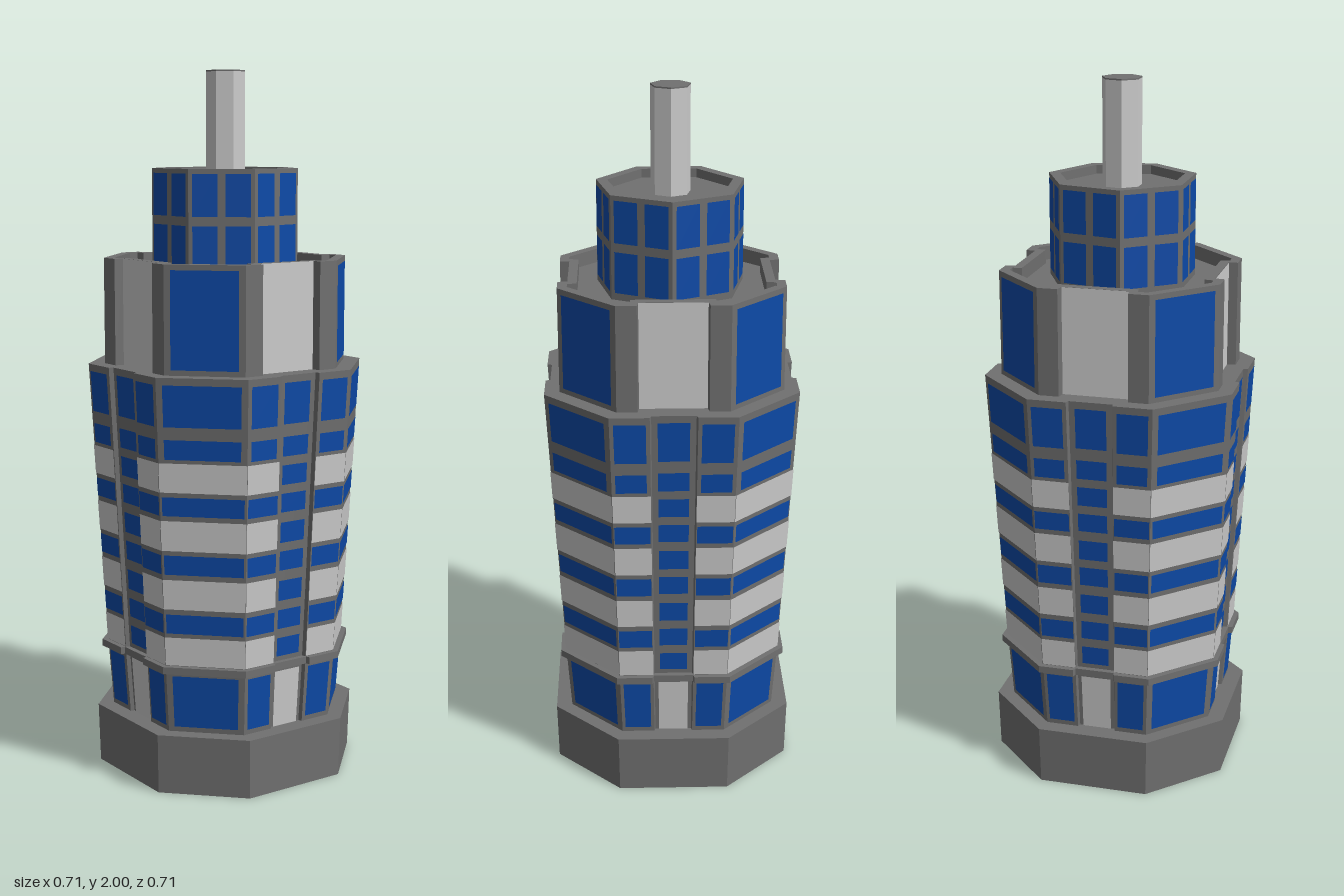
import * as THREE from 'three';

const LIGHT = 0xcccccc, DARK = 0x707070, BLUE = 0x0d4aa8;

// Octagonal plan, counter-clockwise from above, with a shallow notch in each main side.
// Faces per side: 0 left flank, 1 cheek, 2 notch back, 3 cheek, 4 right flank, 5 diagonal.
function notchedPlan(a, c, n, d) {
  const m = n - 0.004;
  const side = [[-c, a], [-n, a], [-m, a - d], [m, a - d], [n, a], [c, a]];
  const plan = [];
  for (let k = 0; k < 4; k++) {
    for (const [px, pz] of side) {
      let x = px, z = pz;
      for (let r = 0; r < k; r++) [x, z] = [z, -x];
      plan.push([x, z]);
    }
  }
  return plan;
}

const octagon = (a, c) => {
  const plan = [];
  for (const [x, z] of [[-c, a], [c, a]]) plan.push([x, z], [z, -x], [-x, -z], [-z, x]);
  return plan.sort((p, q) => Math.atan2(-p[1], p[0]) - Math.atan2(-q[1], q[0]));
};

const polygon = (n, r) => Array.from({ length: n }, (_, i) => {
  const t = (i / n) * Math.PI * 2;
  return [r * Math.cos(t), -r * Math.sin(t)];
});

const scalePlan = (plan, s) => plan.map(([x, z]) => [x * s, z * s]);

function addMesh(group, name, positions, color) {
  const geo = new THREE.BufferGeometry();
  geo.setAttribute('position', new THREE.Float32BufferAttribute(positions, 3));
  geo.computeVertexNormals();
  const mesh = new THREE.Mesh(geo, new THREE.MeshStandardMaterial({ color, flatShading: true }));
  mesh.name = name;
  group.add(mesh);
}

function pushQuad(out, a, b, c, d) {
  out.push(...a, ...b, ...c, ...a, ...c, ...d);
}

function pushCap(out, plan, y, up) {
  const contour = plan.map(([x, z]) => new THREE.Vector2(x, -z));
  for (const tri of THREE.ShapeUtils.triangulateShape(contour, [])) {
    for (const i of up ? tri : [...tri].reverse()) out.push(plan[i][0], y, plan[i][1]);
  }
}

// Solid skinned through a list of [plan, y] rings, capped at both ends
function skin(rings) {
  const out = [];
  for (let r = 0; r < rings.length - 1; r++) {
    const [p, y0] = rings[r], [q, y1] = rings[r + 1];
    p.forEach((_, i) => {
      const j = (i + 1) % p.length;
      pushQuad(out, [p[i][0], y0, p[i][1]], [p[j][0], y0, p[j][1]],
        [q[j][0], y1, q[j][1]], [q[i][0], y1, q[i][1]]);
    });
  }
  pushCap(out, ...rings[0], false);
  pushCap(out, ...rings[rings.length - 1], true);
  return out;
}

// Thin panel lying on wall face i between two rings; u runs along the face, y is height
function pushPanel(out, [p, y0], [q, y1], i, u0, u1, ya, yb) {
  const j = (i + 1) % p.length;
  const at = (u, y) => {
    const v = (y - y0) / (y1 - y0);
    const mix = (k) => THREE.MathUtils.lerp(
      THREE.MathUtils.lerp(p[i][k], p[j][k], u), THREE.MathUtils.lerp(q[i][k], q[j][k], u), v);
    return new THREE.Vector3(mix(0), y, mix(1));
  };
  const pts = [at(u0, ya), at(u1, ya), at(u1, yb), at(u0, yb)];
  const normal = pts[1].clone().sub(pts[0]).cross(pts[3].clone().sub(pts[0])).normalize();
  pushQuad(out, ...pts.map((v) => v.addScaledVector(normal, 0.002).toArray()));
}

export function createModel() {
  const model = new THREE.Group();
  model.name = 'tower';

  // Plinth
  addMesh(model, 'plinth', skin([[octagon(0.341, 0.157), 0], [octagon(0.345, 0.16), 0.17]]), DARK);

  // Ground floor with doors in the notches
  const shaftPlan = notchedPlan(0.354, 0.175, 0.065, 0.013);
  const g0 = [scalePlan(shaftPlan, 0.845), 0.17], g1 = [scalePlan(shaftPlan, 0.88), 0.35];
  const groundWindows = [], doors = [];
  for (let i = 0; i < 24; i++) {
    const kind = i % 6;
    if (kind === 0 || kind === 4) pushPanel(groundWindows, g0, g1, i, 0.1, 0.9, 0.185, 0.335);
    if (kind === 5) pushPanel(groundWindows, g0, g1, i, 0.08, 0.92, 0.185, 0.335);
    if (kind === 2) pushPanel(doors, g0, g1, i, 0.1, 0.9, 0.17, 0.335);
  }
  addMesh(model, 'groundFloorWalls', skin([g0, g1]), DARK);
  addMesh(model, 'groundFloorWindows', groundWindows, BLUE);
  addMesh(model, 'doors', doors, LIGHT);

  // Ledge above the ground floor
  const ledgePlan = scalePlan(shaftPlan, 0.925);
  addMesh(model, 'ledge', skin([[ledgePlan, 0.345], [ledgePlan, 0.365]]), DARK);

  // Shaft, widening upwards, with alternating window rows and light bands
  const s0 = [scalePlan(shaftPlan, 0.88), 0.36], s1 = [shaftPlan, 1.18];
  const windowRows = [[0.46, 0.515], [0.63, 0.685], [0.797, 0.85], [0.955, 1.01], [1.045, 1.16]];
  const bandRows = [[0.367, 0.448], [0.53, 0.615], [0.698, 0.783], [0.863, 0.945]];
  const columnRows = bandRows.map(([a, b]) => [a + 0.012, b - 0.015]).concat(windowRows);
  const shaftWindows = [], bands = [];
  for (let i = 0; i < 24; i++) {
    const kind = i % 6;
    if (kind === 1 || kind === 3) continue;
    if (kind === 2) {
      for (const [a, b] of columnRows) pushPanel(shaftWindows, s0, s1, i, 0.14, 0.86, a, b);
      continue;
    }
    windowRows.forEach(([a, b], r) => {
      const m = r < 3 ? 0.025 : kind === 5 ? 0.07 : 0.1;
      pushPanel(shaftWindows, s0, s1, i, m, 1 - m, a, b);
    });
    for (const [a, b] of bandRows) pushPanel(bands, s0, s1, i, 0, 1, a, b);
  }
  addMesh(model, 'shaftWalls', skin([s0, s1]), DARK);
  addMesh(model, 'shaftWindows', shaftWindows, BLUE);
  addMesh(model, 'shaftBands', bands, LIGHT);

  // Upper tier with a parapet around a sunken roof
  const tierPlan = notchedPlan(0.312, 0.154, 0.097, 0.027);
  const tierInner = notchedPlan(0.285, 0.143, 0.117, 0.026);
  const t0 = [tierPlan, 1.18], t1 = [tierPlan, 1.48];
  const tierWindows = [], tierPanels = [];
  for (let i = 0; i < 24; i++) {
    if (i % 6 === 5) pushPanel(tierWindows, t0, t1, i, 0.08, 0.92, 1.195, 1.465);
    if (i % 6 === 2) pushPanel(tierPanels, t0, t1, i, 0, 1, 1.18, 1.48);
  }
  addMesh(model, 'upperTierWalls', skin([t0, t1, [tierInner, 1.48], [tierInner, 1.44]]), DARK);
  addMesh(model, 'upperTierWindows', tierWindows, BLUE);
  addMesh(model, 'upperTierPanels', tierPanels, LIGHT);

  // Seven-sided drum with two by two windows on each face
  const d0 = [polygon(7, 0.21), 1.43], d1 = [polygon(7, 0.21), 1.73];
  const drumInner = polygon(7, 0.178);
  const drumWindows = [];
  for (let i = 0; i < 7; i++) {
    for (const [u0, u1] of [[0.06, 0.44], [0.56, 0.94]]) {
      for (const [a, b] of [[1.46, 1.575], [1.6, 1.717]]) pushPanel(drumWindows, d0, d1, i, u0, u1, a, b);
    }
  }
  addMesh(model, 'drumWalls', skin([d0, d1, [drumInner, 1.73], [drumInner, 1.705]]), DARK);
  addMesh(model, 'drumWindows', drumWindows, BLUE);

  // Spire with a dark cap
  const spire = polygon(7, 0.056);
  addMesh(model, 'spire', skin([[spire, 1.7], [spire, 1.996]]), LIGHT);
  addMesh(model, 'spireCap', skin([[spire, 1.996], [spire, 2]]), DARK);

  return model;
}
